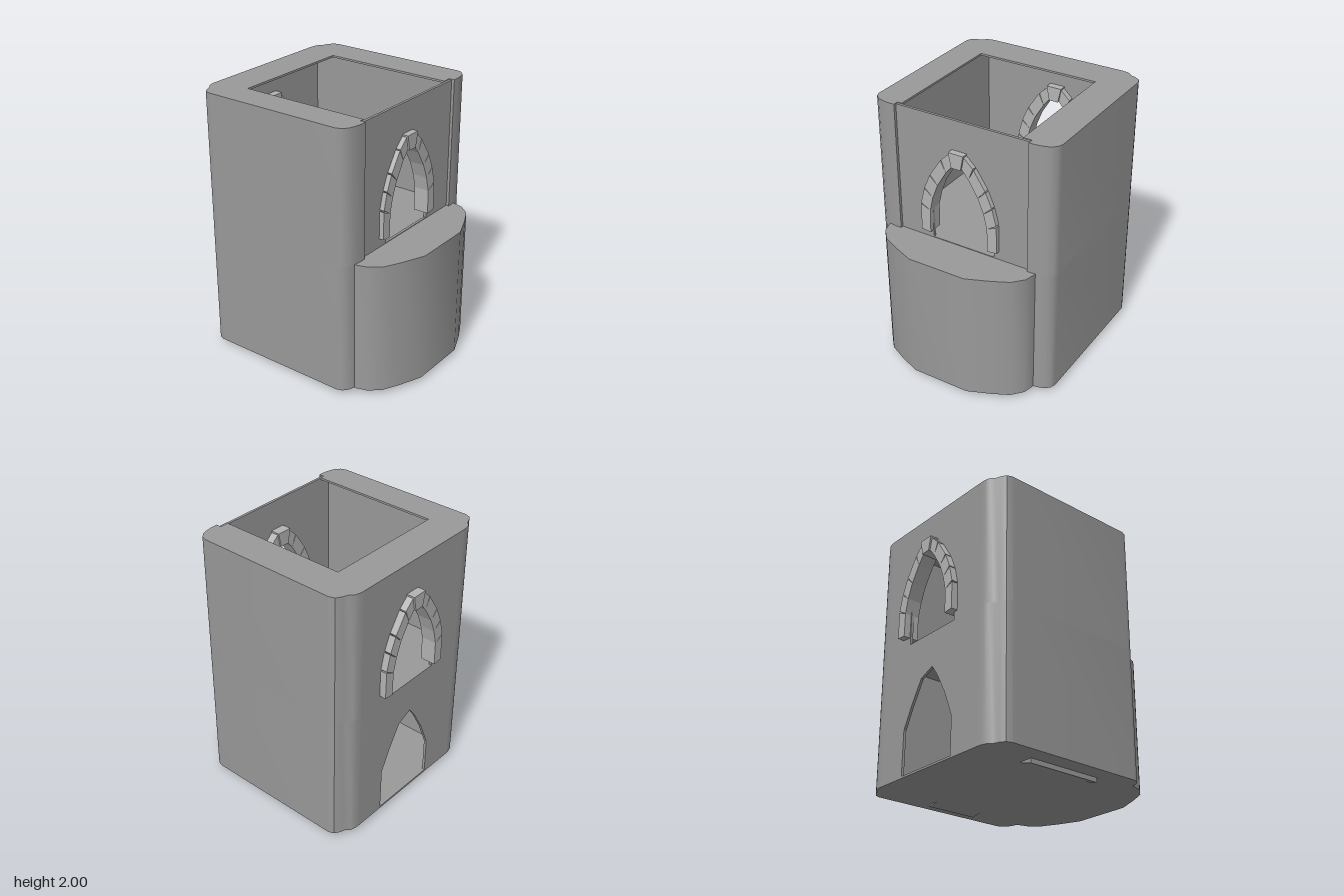
import * as THREE from 'three';
import { toCreasedNormals } from 'three/addons/utils/BufferGeometryUtils.js';

const BASE = 0.035, MID = 1.02, TOP = 2;

export function createModel() {
  const model = new THREE.Group();
  model.name = 'tower';
  const wallMaterial = new THREE.MeshStandardMaterial({ color: 0x999999, side: THREE.DoubleSide });
  const stoneMaterial = new THREE.MeshStandardMaterial({ color: 0xb3b3b3, side: THREE.DoubleSide });

  const add = (name, geometry, parent = model, material = wallMaterial) => {
    const mesh = new THREE.Mesh(geometry, material);
    mesh.name = name;
    parent.add(mesh);
  };
  const polygon = (points) => new THREE.Shape(points.map(([a, b]) => new THREE.Vector2(a, b)));

  // Extrude a floor plan of [x, z] points from y0 up to y1
  const planBlock = (points, y0, y1) => {
    const g = new THREE.ExtrudeGeometry(polygon(points.map(([x, z]) => [x, -z])),
      { depth: y1 - y0, bevelEnabled: false });
    g.rotateX(-Math.PI / 2).translate(0, y0, 0);
    return toCreasedNormals(g, 0.65);
  };
  // Extrude a side elevation of [z, y] points from x0 to x1
  const sideBlock = (shape, x0, x1) => {
    const g = new THREE.ExtrudeGeometry(shape, { depth: x1 - x0, bevelEnabled: false });
    return g.rotateY(-Math.PI / 2).translate(x1, 0, 0);
  };
  const slab = (x0, x1, y0, y1, z0, z1) =>
    new THREE.BoxGeometry(x1 - x0, y1 - y0, z1 - z0)
      .translate((x0 + x1) / 2, (y0 + y1) / 2, (z0 + z1) / 2);

  // Pointed window opening of the upper storey
  const windowHole = () => {
    const half = [[0.25, 1.3], [0.23, 1.4], [0.18, 1.53], [0.12, 1.63], [0.06, 1.69]];
    return polygon([
      [-0.25, 1.025], [0.25, 1.025], ...half, [0, 1.72],
      ...half.slice().reverse().map(([z, y]) => [-z, y]),
    ]);
  };

  // Front and back walls with rounded corners, one per storey; extra points keep the broad faces flat
  for (const [side, s] of [['front', 1], ['back', -1]]) {
    const plan = [
      [-0.75, 0.58], [-0.75, 0.53], [-0.77, 0.53], [-0.768, 0.56], [-0.757, 0.6], [-0.73, 0.625],
      [-0.715, 0.665], [-0.69, 0.705], [-0.65, 0.72], [-0.64, 0.72], [0.43, 0.72], [0.44, 0.72],
      [0.48, 0.705], [0.51, 0.67], [0.525, 0.62], [0.532, 0.57], [0.532, 0.525], [0.49, 0.525],
      [0.49, 0.58],
    ].map(([x, z]) => [x, z * s]);
    add(side + 'WallLower', planBlock(plan, BASE, MID));
    add(side + 'WallUpper', planBlock(plan, MID, TOP));
  }

  // Thin wall with a lancet doorway below and a window above
  const doorWall = polygon([[-0.53, BASE], [0.53, BASE], [0.53, TOP], [-0.53, TOP]]);
  doorWall.holes.push(windowHole(), polygon([
    [-0.285, 0.05], [0.25, 0.05], [0.25, 0.33], [0.17, 0.52], [0.08, 0.68],
    [0.02, 0.76], [-0.1, 0.71], [-0.2, 0.54], [-0.28, 0.38],
  ]));
  add('doorWall', sideBlock(doorWall, -0.77, -0.75));

  // Thin recessed wall above the bay
  const bayWall = polygon([[-0.53, 0.98], [0.53, 0.98], [0.53, 1.995], [-0.53, 1.995]]);
  bayWall.holes.push(windowHole());
  add('bayWall', sideBlock(bayWall, 0.49, 0.51));

  // Floors
  add('groundFloor', slab(-0.75, 0.5, BASE, 0.05, -0.58, 0.58));
  add('upperFloor', slab(-0.75, 0.5, 1.0, MID, -0.58, 0.58));

  // Roof rim overhanging the hollow interior
  add('sideRoofRim', slab(-0.75, -0.5, 1.985, TOP, -0.58, 0.58));
  add('frontRoofRim', slab(-0.5, 0.49, 1.985, TOP, 0.49, 0.58));
  add('backRoofRim', slab(-0.5, 0.49, 1.985, TOP, -0.58, -0.46));

  // Curved bay
  add('bay', planBlock([
    [0.5, -0.59], [0.54, -0.59], [0.62, -0.57], [0.7, -0.5], [0.76, -0.38], [0.83, -0.21],
    [0.83, 0.24], [0.76, 0.41], [0.7, 0.53], [0.62, 0.6], [0.54, 0.625], [0.5, 0.625],
  ], BASE, MID));

  // Stone window surrounds: outer and inner joints from foot to crown, notched along the outer edge
  const outer = [[0.31, 1.08], [0.308, 1.3], [0.275, 1.43], [0.225, 1.545], [0.13, 1.69], [0.055, 1.76]];
  const inner = [[0.235, 1.08], [0.232, 1.26], [0.206, 1.37], [0.163, 1.48], [0.09, 1.6], [0.038, 1.665]];
  const mix = (p, q, t) => p.map((v, k) => v + (q[k] - v) * t);
  const surround = (name, x0, x1, z) => {
    const group = new THREE.Group();
    group.name = name;
    group.position.z = z;
    for (const s of [1, -1]) {
      for (let i = 0; i < outer.length - 1; i++) {
        const a = outer[i], b = outer[i + 1];
        const quad = [mix(a, b, 0.03), mix(a, b, 0.97), inner[i + 1], inner[i]];
        add('archStone', sideBlock(polygon(quad.map(([u, y]) => [u * s, y])), x0, x1), group, stoneMaterial);
      }
    }
    const key = polygon([[-0.037, 1.66], [0.037, 1.66], [0.06, 1.772], [-0.06, 1.772]]);
    add('keystone', sideBlock(key, x0 - 0.013, x1 + 0.013), group, stoneMaterial);
    model.add(group);
  };
  surround('bayWindowSurround', 0.43, 0.545, 0.018);
  surround('doorSideWindowSurround', -0.82, -0.705, -0.025);

  // Shallow wedges under the base
  add('frontFootWedge', sideBlock(polygon([[0.47, BASE], [0.59, 0], [0.59, BASE]]), -0.38, 0.21));
  add('backFootWedge', sideBlock(polygon([[-0.53, BASE], [-0.62, 0.018], [-0.62, BASE]]), -0.28, 0.12));

  return model;
}
